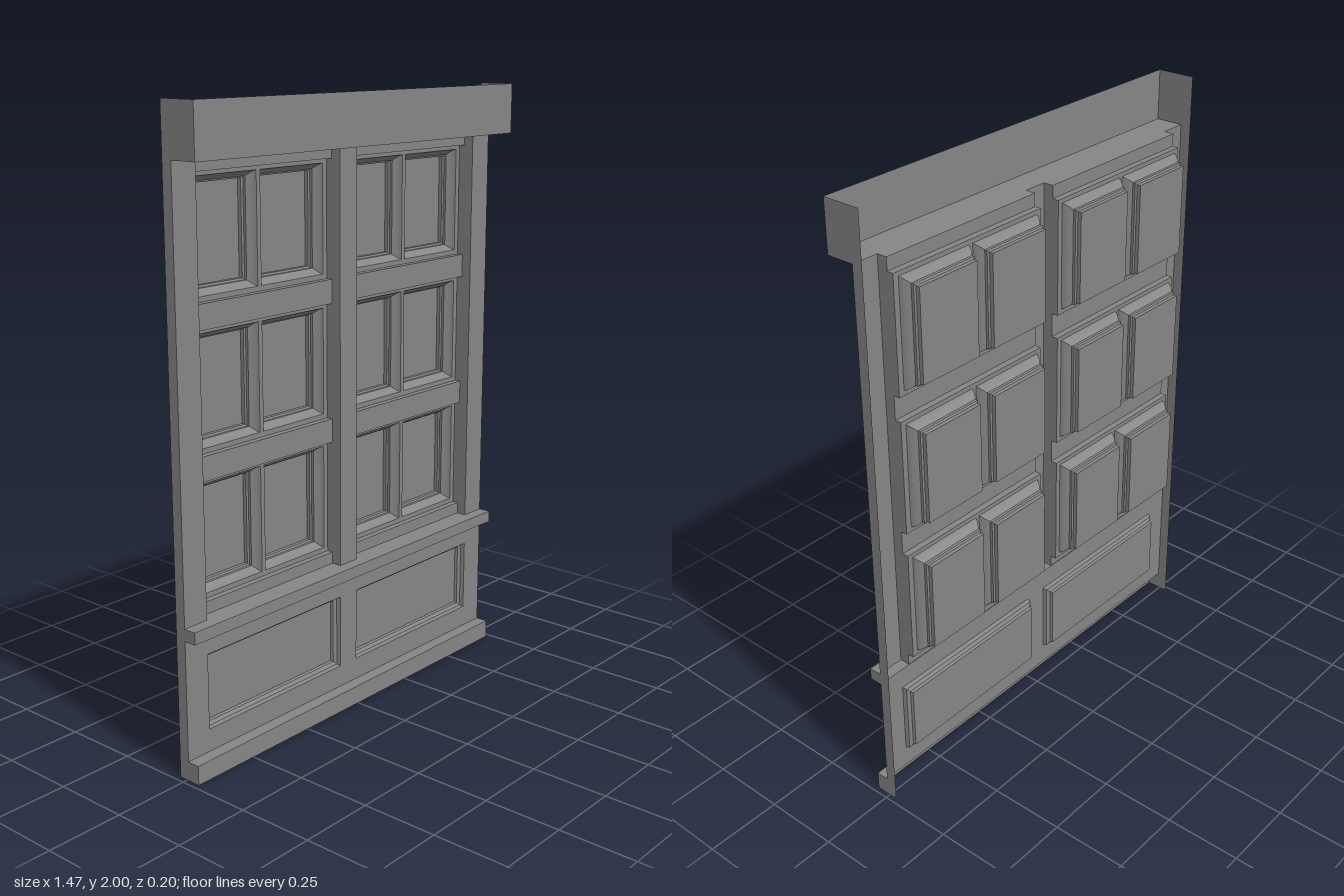
import * as THREE from 'three';

const material = new THREE.MeshStandardMaterial({ color: 0x868686, side: THREE.DoubleSide });

const W = 0.733;                                   // half width
const FACE = 0.008, RAIL = -0.026, FRAME = -0.047, BACK = -0.1;
const EDGE = -0.028, LEDGE = 0.05, FRONT = 0.1;    // end plate back, moulding and beam fronts
const BASE = 0.062, DADO = [0.448, 0.487], HEAD = 1.837, TOP = 2;
const OPEN = [0.04, 0.643];                        // bay opening, one side
const ROWS = [[0.526, 0.898], [0.975, 1.347], [1.424, 1.796]];
const COLS = [[0.058, 0.333], [0.349, 0.624]];

function add(parent, name, geometry) {
  const mesh = new THREE.Mesh(geometry, material);
  mesh.name = name;
  parent.add(mesh);
  return mesh;
}

// Geometry from a list of four-cornered faces
function quads(list) {
  const pos = [];
  for (const [a, b, c, d] of list) pos.push(...a, ...b, ...c, ...a, ...c, ...d);
  const g = new THREE.BufferGeometry();
  g.setAttribute('position', new THREE.Float32BufferAttribute(pos, 3));
  g.computeVertexNormals();
  return g;
}

const corners = (x0, x1, y0, y1, inset, z) => [
  [x0 + inset, y0 + inset, z], [x1 - inset, y0 + inset, z],
  [x1 - inset, y1 - inset, z], [x0 + inset, y1 - inset, z]];

// Rectangular recess that steps inward along [inset, z] pairs
function recess([x0, x1], [y0, y1], profile, capped) {
  const rings = profile.map(([i, z]) => corners(x0, x1, y0, y1, i, z));
  const faces = [];
  for (let r = 1; r < rings.length; r++) {
    for (let k = 0; k < 4; k++) {
      const n = (k + 1) % 4;
      faces.push([rings[r - 1][k], rings[r - 1][n], rings[r][n], rings[r][k]]);
    }
  }
  if (capped) faces.push(rings[rings.length - 1]);
  return quads(faces);
}

// Flat sheet facing front, with rectangular holes
function sheet([x0, x1], [y0, y1], z, holes = []) {
  const points = (a, b, c, d) => corners(a, b, c, d, 0, 0).map(p => new THREE.Vector2(p[0], p[1]));
  const shape = new THREE.Shape(points(x0, x1, y0, y1));
  for (const [hx, hy] of holes) shape.holes.push(new THREE.Path(points(...hx, ...hy).reverse()));
  return new THREE.ShapeGeometry(shape).translate(0, 0, z);
}

// Open moulding running across the full width through [z, y] points
function moulding(points) {
  const faces = [];
  for (let i = 1; i < points.length; i++) {
    const [za, ya] = points[i - 1], [zb, yb] = points[i];
    faces.push([[-W, ya, za], [W, ya, za], [W, yb, zb], [-W, yb, zb]]);
  }
  return quads(faces);
}

export function createModel() {
  const model = new THREE.Group();
  model.name = 'wallPanel';
  const bays = [OPEN, [-OPEN[1], -OPEN[0]]];

  // Horizontal mouldings
  const base = [[LEDGE, 0], [LEDGE, BASE], [FACE, BASE]];
  const dado = [[FACE, DADO[0]], [LEDGE, DADO[0]], [LEDGE, DADO[1]], [FACE, DADO[1]]];
  const head = [[FACE, HEAD], [FRONT, HEAD], [FRONT, TOP]];
  add(model, 'baseboard', moulding(base));
  add(model, 'chairRail', moulding(dado));
  add(model, 'headBeam', moulding(head));

  // End plates follow the moulded front outline
  const outline = [[EDGE, 0], ...base, ...dado, ...head, [EDGE, TOP]];
  for (const s of [1, -1]) {
    const shape = new THREE.Shape(outline.map(([z, y]) => new THREE.Vector2(-s * z, y)));
    const plate = add(model, s > 0 ? 'leftEnd' : 'rightEnd', new THREE.ShapeGeometry(shape));
    plate.rotation.y = s * Math.PI / 2;
    plate.position.x = s * W;
  }

  // Lower wainscot with two sunken panels
  const lowY = [0.135, 0.378];
  add(model, 'wainscot', sheet([-W, W], [BASE, DADO[0]], FACE, bays.map(b => [b, lowY])));
  for (const bay of bays) {
    add(model, 'lowerPanel', recess(bay, lowY, [[0, FACE], [0.003, -0.006], [0.014, -0.012], [0.016, -0.022]], true));
  }

  // Upright stiles
  for (const span of [[-W, -OPEN[1]], [-OPEN[0], OPEN[0]], [OPEN[1], W]]) {
    add(model, 'stile', sheet(span, [DADO[1], HEAD], FACE));
  }

  // Upper bays: rails set back between stiles, rows of paired coffers
  const cofferProfile = [[0, FRAME], [0.004, -0.057], [0.01, -0.066], [0.018, -0.075],
    [0.018, -0.084], [0.024, -0.087], [0.024, BACK]];
  for (const bay of bays) {
    const group = new THREE.Group();
    group.name = bay[0] > 0 ? 'leftBay' : 'rightBay';
    model.add(group);
    add(group, 'bayReveal', recess(bay, [DADO[1], HEAD], [[0, FACE], [0, RAIL]], false));
    const edges = [DADO[1], ...ROWS.flat(), HEAD];
    for (let i = 0; i < edges.length; i += 2) {
      add(group, 'rail', sheet(bay, [edges[i], edges[i + 1]], RAIL));
    }
    const cols = bay[0] > 0 ? COLS : COLS.map(([a, b]) => [-b, -a]);
    for (const row of ROWS) {
      const holeY = [row[0] + 0.016, row[1] - 0.014];
      add(group, 'rowReveal', recess(bay, row, [[0, RAIL], [0, FRAME]], false));
      add(group, 'cofferFrame', sheet(bay, row, FRAME, cols.map(c => [c, holeY])));
      for (const col of cols) add(group, 'coffer', recess(col, holeY, cofferProfile, true));
    }
  }
  return model;
}
